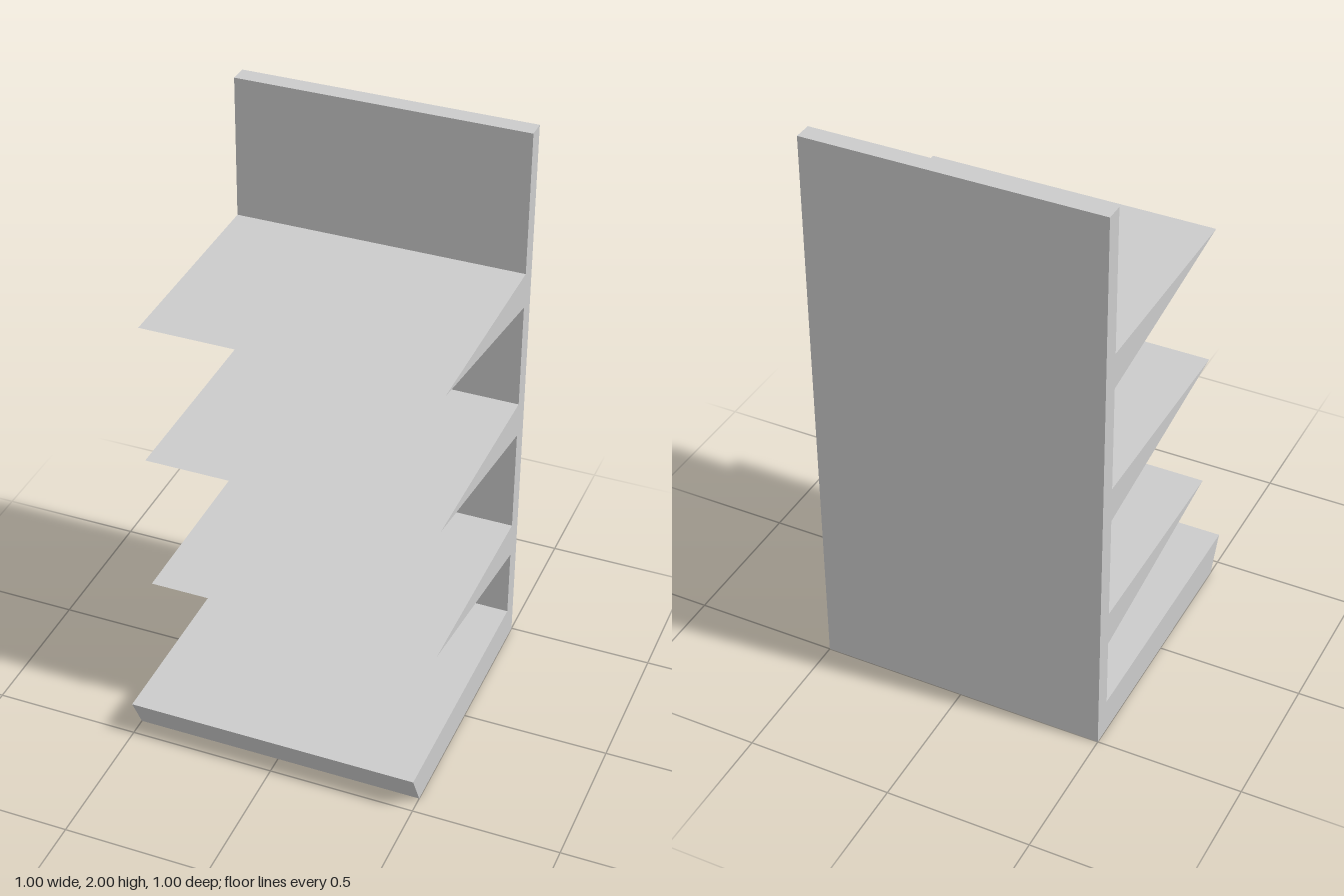
import * as THREE from 'three';

const WIDTH = 1;
const BACK = -0.5;      // rear plane
const PANEL = -0.4375;  // front plane of the back panel
const TIP = 0.3125;     // front edge of the shelves
const BRACKET = 0.0625; // bracket thickness

const material = new THREE.MeshStandardMaterial({ color: 0xcccccc, flatShading: true });

// Extrudes a side profile of [z, y] points along x, centred on the given x
function profile(name, points, width, x = 0) {
  const shape = new THREE.Shape(points.map(([z, y]) => new THREE.Vector2(z, y)));
  const geometry = new THREE.ExtrudeGeometry(shape, { depth: width, bevelEnabled: false });
  geometry.translate(0, 0, -width / 2).rotateY(-Math.PI / 2);
  const mesh = new THREE.Mesh(geometry, material);
  mesh.name = name;
  mesh.position.x = x;
  return mesh;
}

// Wedge that tapers from the back panel to a sharp front edge at y = 0
const wedge = (depth) => [[PANEL, -depth], [TIP, 0], [PANEL, 0]];

// Shelf board with a deeper bracket at each end
function createShelf(y) {
  const shelf = new THREE.Group();
  shelf.name = 'shelf';
  shelf.position.y = y;
  shelf.add(profile('shelfBoard', wedge(0.0625), WIDTH - 2 * BRACKET));
  for (const side of [-1, 1]) {
    const name = side > 0 ? 'leftBracket' : 'rightBracket';
    shelf.add(profile(name, wedge(0.125), BRACKET, side * (WIDTH - BRACKET) / 2));
  }
  return shelf;
}

export function createModel() {
  const model = new THREE.Group();
  model.name = 'shelvingUnit';

  // Upright panel and base with a slanted kick front, as one L-shaped body
  model.add(profile('backPanelAndBase', [
    [BACK, 0], [0.4375, 0], [0.5, 0.125], [PANEL, 0.125], [PANEL, 2], [BACK, 2],
  ], WIDTH));

  // Three evenly spaced shelves
  for (const y of [0.5, 1, 1.5]) model.add(createShelf(y));

  return model;
}
